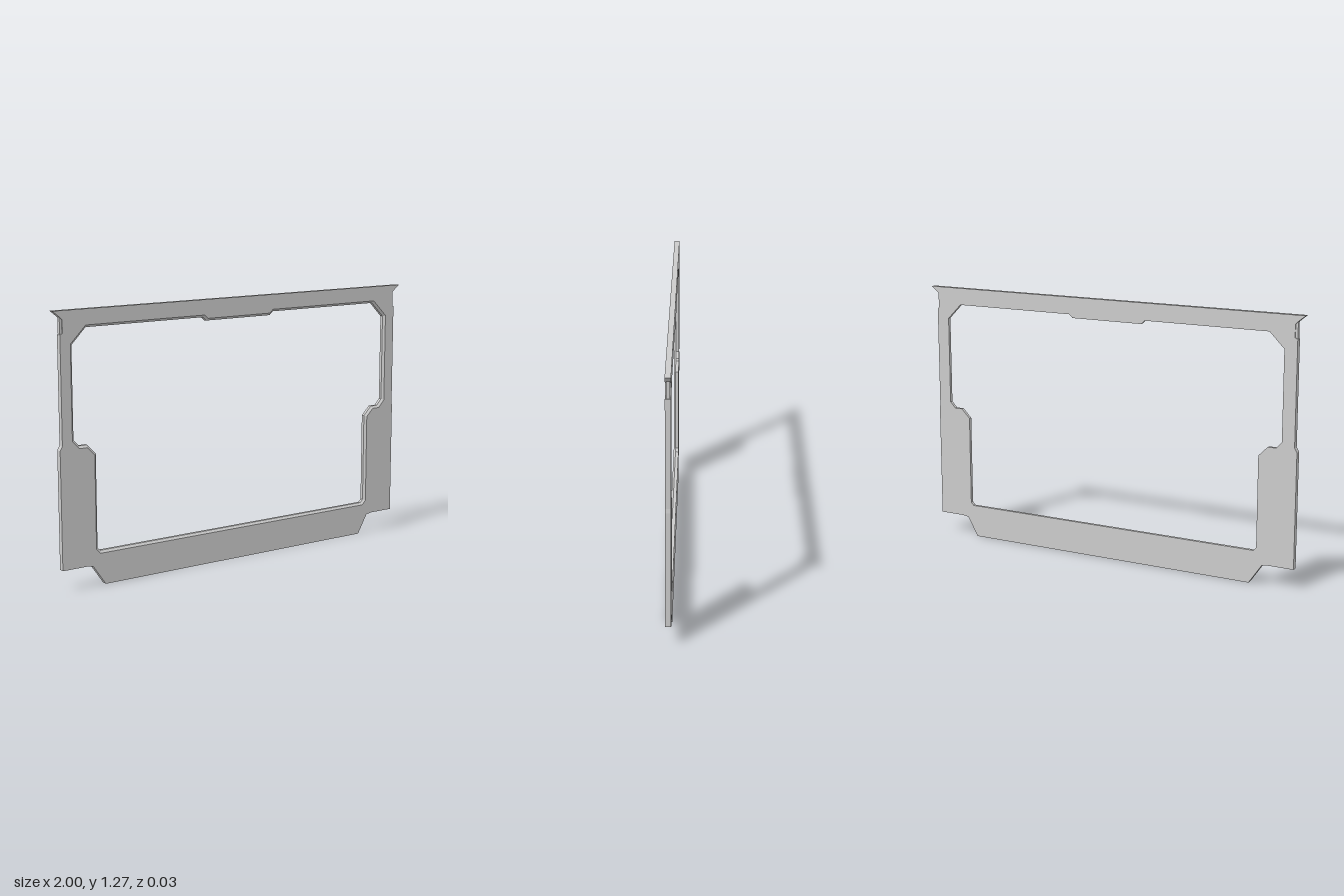
import * as THREE from 'three';
import { mergeGeometries } from 'three/addons/utils/BufferGeometryUtils.js';

const HALF = 0.013; // half of the panel thickness
const STEP = 0.003; // depth where the opening's front chamfer begins
const CHAMFER = 0.011;

const toPoints = (list) => list.map(([x, y]) => new THREE.Vector2(x, y));
const mirrored = (list) => list.map(([x, y]) => [-x, y]).reverse();

// Flat-shaded wall between two matching loops
function wall(a, za, b, zb) {
  const pos = [];
  a.forEach((p, i) => {
    const j = (i + 1) % a.length;
    const q = [[p.x, p.y, za], [a[j].x, a[j].y, za], [b[j].x, b[j].y, zb], [b[i].x, b[i].y, zb]];
    for (const k of [0, 1, 2, 0, 2, 3]) pos.push(...q[k]);
  });
  const g = new THREE.BufferGeometry();
  g.setAttribute('position', new THREE.Float32BufferAttribute(pos, 3));
  g.computeVertexNormals();
  return g;
}

// Flat face with an opening, facing front or back
function face(outer, hole, z, back) {
  const shape = new THREE.Shape(outer);
  shape.holes.push(new THREE.Path(hole));
  const g = new THREE.ShapeGeometry(shape).toNonIndexed();
  g.deleteAttribute('uv');
  if (back) {
    const p = g.attributes.position;
    for (let i = 0; i < p.count; i += 3) {
      const x = p.getX(i), y = p.getY(i);
      p.setXY(i, p.getX(i + 1), p.getY(i + 1));
      p.setXY(i + 1, x, y);
    }
  }
  g.translate(0, 0, z);
  g.computeVertexNormals();
  return g;
}

// Mitred offset to the left of the loop's direction
function offset(loop, d) {
  const n = loop.length;
  const normal = (a, b) => new THREE.Vector2(a.y - b.y, b.x - a.x).normalize();
  return loop.map((p, i) => {
    const n1 = normal(loop[(i + n - 1) % n], p);
    const n2 = normal(p, loop[(i + 1) % n]);
    const s = d / (1 + n1.dot(n2));
    return n1.add(n2).multiplyScalar(s).add(p);
  });
}

export function createModel() {
  const group = new THREE.Group();
  const material = new THREE.MeshStandardMaterial({ color: 0xcccccc });
  const add = (name, geometry) => {
    const mesh = new THREE.Mesh(geometry, material);
    mesh.name = name;
    group.add(mesh);
    return mesh;
  };

  // Outer outline, counter-clockwise, with a notch under each top corner
  const outer = toPoints([
    [-0.755, 0], [0.755, 0], [0.81, 0.095], [0.845, 0.1], [0.97, 0.1],
    [0.97, 0.65], [0.967, 0.67], [0.967, 1.165], [0.945, 1.172],
    [0.945, 1.232], [0.963, 1.243], [1, 1.273],
    [-1, 1.273], [-0.963, 1.243], [-0.952, 1.232], [-0.952, 1.172],
    [-0.965, 1.165], [-0.965, 0.67], [-0.977, 0.65], [-0.977, 0.098],
    [-0.845, 0.098], [-0.82, 0.094],
  ]);

  // Opening, clockwise: stepped sides, cut corners and a tab at the top
  const leftSide = [
    [-0.775, 0.16], [-0.79, 0.175], [-0.79, 0.615], [-0.835, 0.66],
    [-0.875, 0.66], [-0.903, 0.69], [-0.903, 1.117], [-0.83, 1.19],
    [-0.203, 1.19], [-0.185, 1.173],
  ];
  const hole = toPoints([...leftSide, ...mirrored(leftSide)]);
  const holeFront = offset(hole, CHAMFER);

  add('frame', mergeGeometries([
    face(outer, holeFront, HALF, false),
    face(outer, hole, -HALF, true),
    wall(outer, -HALF, outer, HALF),
    wall(hole, -HALF, hole, STEP),
    wall(hole, STEP, holeFront, HALF),
  ]));

  // Thin tongues bridging the side notches
  for (const side of [-1, 1]) {
    const tongue = add(side > 0 ? 'leftTongue' : 'rightTongue', new THREE.BoxGeometry(0.025, 0.085, 0.016));
    tongue.position.set(side * 0.951, 1.202, 0);
  }
  return group;
}
